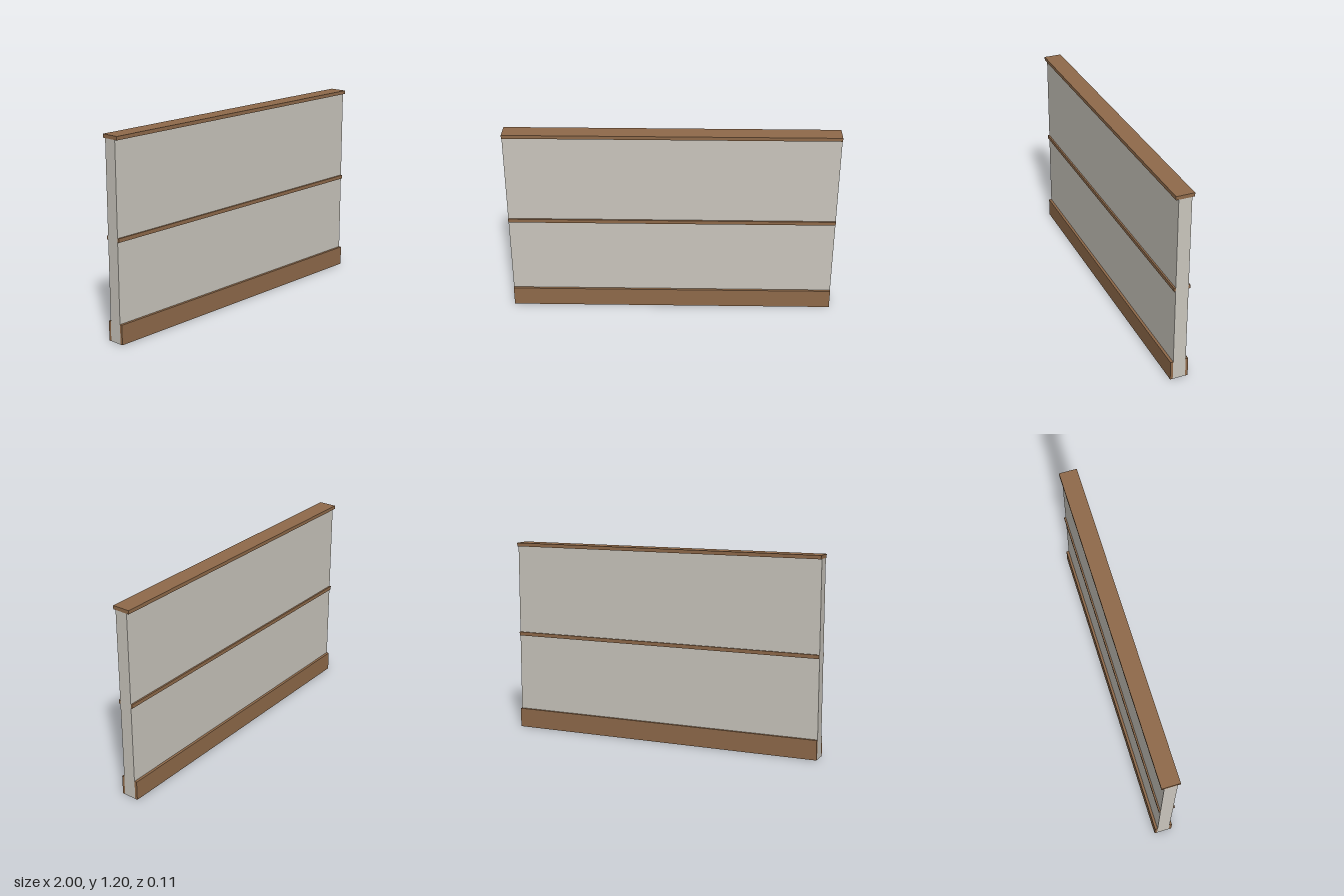
import * as THREE from 'three';

export function createModel() {
  const model = new THREE.Group();
  model.name = 'partitionWall';

  const plaster = new THREE.MeshStandardMaterial({ color: 0xcac6bd });
  plaster.name = 'warm grey plaster';
  const wood = new THREE.MeshStandardMaterial({ color: 0x8f6a4a });
  wood.name = 'brown wood';

  const LENGTH = 2;
  const HALF_DEPTH = 0.039;

  // Full-length bar spanning y0..y1 and z0..z1
  function bar(name, material, y0, y1, z0, z1) {
    const mesh = new THREE.Mesh(new THREE.BoxGeometry(LENGTH, y1 - y0, z1 - z0), material);
    mesh.position.set(0, (y0 + y1) / 2, (z0 + z1) / 2);
    mesh.name = name;
    model.add(mesh);
  }

  // Wall core and the overhanging cap on top
  bar('wallPanel', plaster, 0, 1.178, -HALF_DEPTH, HALF_DEPTH);
  bar('topCap', wood, 1.178, 1.2, -0.055, 0.055);

  // Skirting board and thin middle rail on both faces
  for (const [side, s] of [['front', 1], ['back', -1]]) {
    const trim = (name, y0, y1, depth) => {
      const a = s * HALF_DEPTH, b = s * depth;
      bar(side + name, wood, y0, y1, Math.min(a, b), Math.max(a, b));
    };
    trim('Skirting', 0, 0.12, 0.055);
    trim('MiddleRail', 0.602, 0.625, 0.049);
  }

  return model;
}
